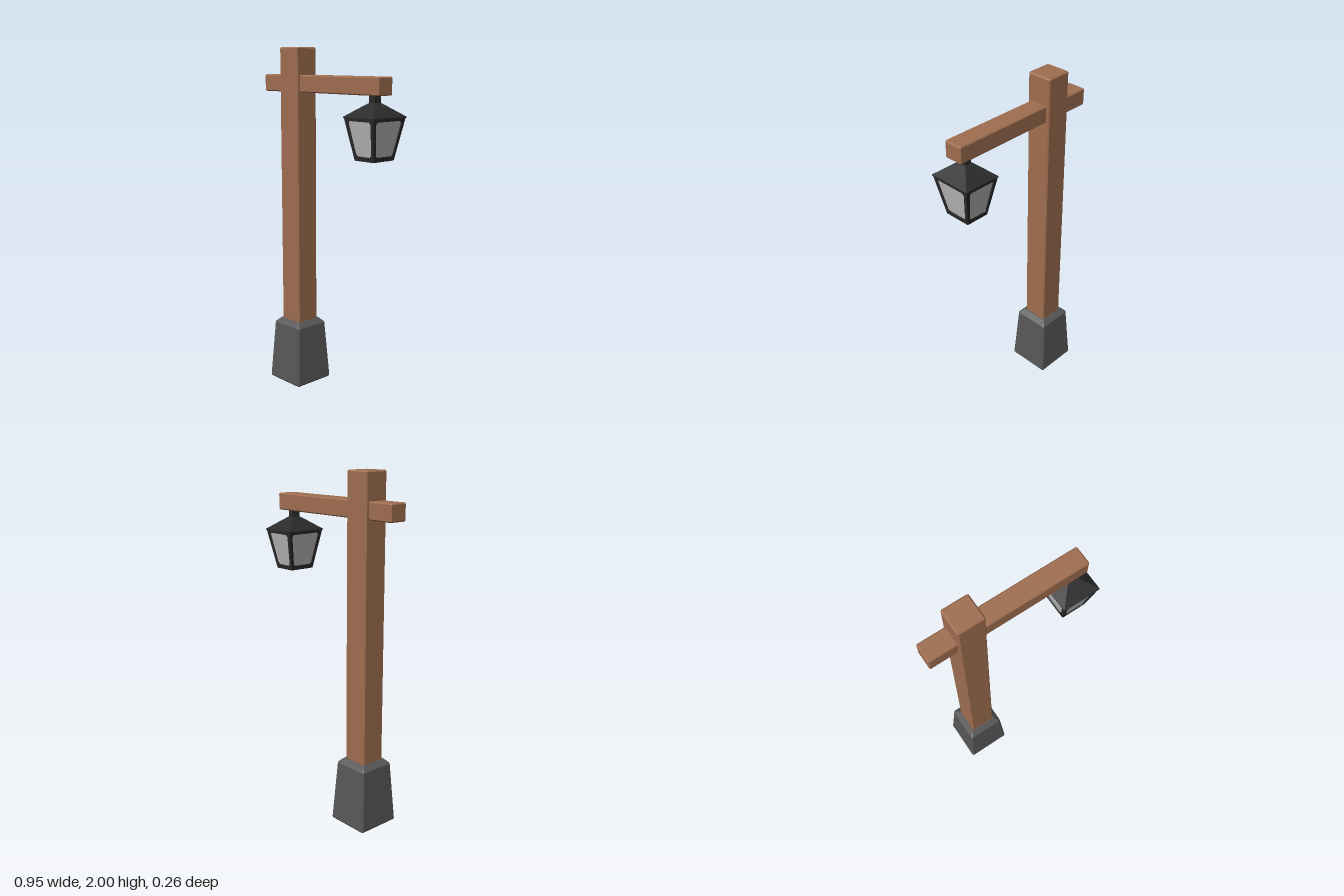
import * as THREE from 'three';
import { ConvexGeometry } from 'three/addons/geometries/ConvexGeometry.js';

const material = (name, color) => {
  const m = new THREE.MeshStandardMaterial({ color });
  m.name = name;
  return m;
};

// Convex solid through rectangular rings [y, halfX, halfZ, cornerCut]
function ringSolid(rings) {
  const points = [];
  for (const [y, hx, hz, cut = 0] of rings) {
    for (const sx of [-1, 1]) for (const sz of [-1, 1]) {
      points.push(new THREE.Vector3(sx * hx, y, sz * (hz - cut)));
      if (cut > 0) points.push(new THREE.Vector3(sx * (hx - cut), y, sz * hz));
    }
  }
  return new ConvexGeometry(points);
}

// Box with all edges chamfered, from y = y0 to y1
function chamferBox(y0, y1, hx, hz, c) {
  return ringSolid([
    [y0, hx - c, hz - c], [y0 + c, hx, hz, c],
    [y1 - c, hx, hz, c], [y1, hx - c, hz - c],
  ]);
}

// Trapezoid outline with trimmed corners
function trapezoid(path, y0, y1, w0, w1, cut = 0) {
  const pts = cut
    ? [[-w0 + cut, y0], [w0 - cut, y0], [w0 + cut * 0.15, y0 + cut], [w1 - cut * 0.15, y1 - cut],
      [w1 - cut, y1], [-w1 + cut, y1], [-w1 + cut * 0.15, y1 - cut], [-w0 - cut * 0.15, y0 + cut]]
    : [[-w0, y0], [w0, y0], [w1, y1], [-w1, y1]];
  path.setFromPoints(pts.map(([x, y]) => new THREE.Vector2(x, y)));
  path.closePath();
  return path;
}

export function createModel() {
  const wood = material('brown wood', 0x9f6e50);
  const stone = material('grey stone', 0x575757);
  const iron = material('black iron', 0x2b2b2b);
  const glass = material('pale glass', 0xbcbcbc);

  const model = new THREE.Group();
  model.name = 'lampPost';
  const add = (parent, name, geometry, mat, x = 0, y = 0, z = 0) => {
    const mesh = new THREE.Mesh(geometry, mat);
    mesh.name = name;
    mesh.position.set(x, y, z);
    parent.add(mesh);
    return mesh;
  };

  // Tapered foot, post and crossing arm
  const postX = -0.241;
  add(model, 'base', ringSolid([
    [0, 0.122, 0.122], [0.012, 0.131, 0.131, 0.008],
    [0.357, 0.109, 0.109, 0.008], [0.385, 0.08, 0.08],
  ]), stone, postX);
  add(model, 'post', chamferBox(0.3, 2, 0.075, 0.074, 0.007), wood, postX);
  add(model, 'arm', chamferBox(1.75, 1.846, 0.457, 0.055, 0.006), wood, -0.018);

  // Hanging lantern
  const lantern = new THREE.Group();
  lantern.name = 'lantern';
  lantern.position.x = 0.365;
  model.add(lantern);

  const y0 = 1.41, y1 = 1.638;
  const bottom = { x: 0.068, z: 0.078 }, top = { x: 0.107, z: 0.123 };
  add(lantern, 'hanger', new THREE.BoxGeometry(0.038, 0.08, 0.05), iron, 0, 1.72);
  add(lantern, 'roof', ringSolid([
    [y1 - 0.004, 0.109, 0.125], [y1 + 0.003, 0.109, 0.125], [1.712, 0.019, 0.025],
  ]), iron);
  add(lantern, 'floor', ringSolid([
    [y0, bottom.x, bottom.z], [y0 + 0.015, bottom.x, bottom.z],
  ]), iron);

  // Four leaning frames, each with a recessed pane
  for (let i = 0; i < 4; i++) {
    const [across, out] = i % 2 ? ['z', 'x'] : ['x', 'z'];
    const lean = top[out] - bottom[out];
    const slant = Math.hypot(y1 - y0, lean);
    const side = new THREE.Group();
    side.name = 'lanternSide';
    side.rotation.y = i * Math.PI / 2;
    lantern.add(side);

    const panel = new THREE.Group();
    panel.name = 'lanternPanel';
    panel.position.set(0, y0, bottom[out]);
    panel.rotation.x = Math.atan2(lean, y1 - y0);
    side.add(panel);

    const w0 = bottom[across], w1 = top[across];
    const opening = [0.024, slant - 0.018, w0 - 0.013, w1 - 0.024];
    const shape = trapezoid(new THREE.Shape(), 0, slant, w0, w1);
    shape.holes.push(trapezoid(new THREE.Path(), ...opening, 0.012));
    add(panel, 'frame', new THREE.ExtrudeGeometry(shape, { depth: 0.012, bevelEnabled: false }), iron, 0, 0, -0.012);
    const pane = trapezoid(new THREE.Shape(), 0.015, slant - 0.01, w0 - 0.008, w1 - 0.015);
    add(panel, 'pane', new THREE.ExtrudeGeometry(pane, { depth: 0.004, bevelEnabled: false }), glass, 0, 0, -0.01);
  }
  return model;
}
